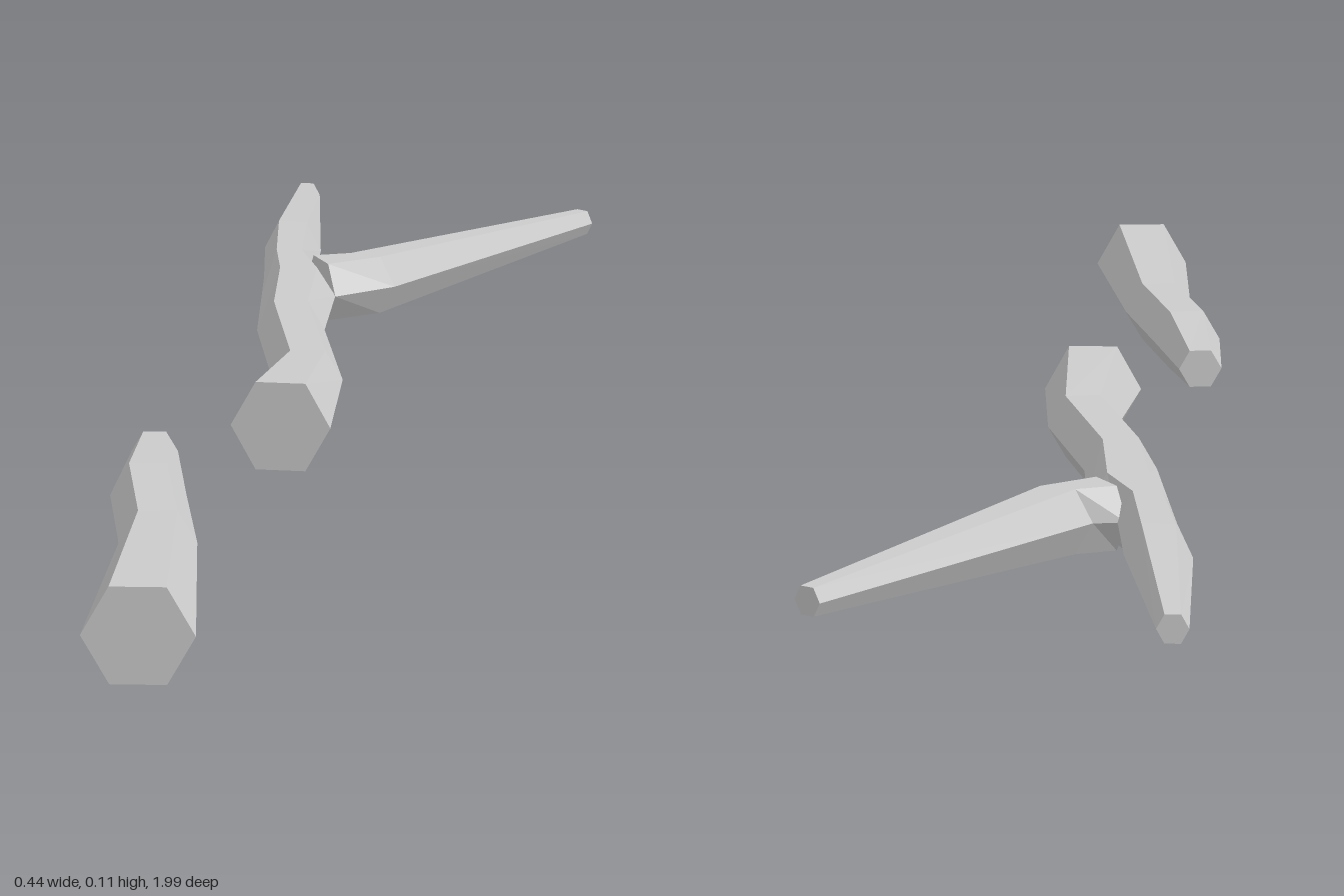
import * as THREE from 'three';

const CENTRE_Y = 0.0555;
const material = new THREE.MeshStandardMaterial({ color: 0xcccccc, flatShading: true });

// Hexagonal ring from its two side points (seen from above) and its half height
function hexRing([lx, lz, rx, rz, h]) {
  const at = (t, dy) => [lx + (rx - lx) * t, CENTRE_Y + dy, lz + (rz - lz) * t];
  return [at(0, 0), at(0.25, h), at(0.75, h), at(1, 0), at(0.75, -h), at(0.25, -h)];
}

// Capped six-sided limb through a row of rings running from front to back
function limb(name, sections) {
  const rings = sections.map(hexRing);
  const positions = [];
  const tri = (a, b, c) => positions.push(...a, ...b, ...c);
  for (let i = 0; i < rings.length - 1; i++) {
    for (let j = 0; j < 6; j++) {
      const k = (j + 1) % 6;
      tri(rings[i][j], rings[i][k], rings[i + 1][k]);
      tri(rings[i][j], rings[i + 1][k], rings[i + 1][j]);
    }
  }
  const first = rings[0], last = rings[rings.length - 1];
  for (let j = 1; j < 5; j++) {
    tri(first[0], first[j + 1], first[j]);
    tri(last[0], last[j], last[j + 1]);
  }
  const geometry = new THREE.BufferGeometry();
  geometry.setAttribute('position', new THREE.Float32BufferAttribute(positions, 3));
  geometry.computeVertexNormals();
  const mesh = new THREE.Mesh(geometry, material);
  mesh.name = name;
  return mesh;
}

export function createModel() {
  const model = new THREE.Group();
  model.name = 'sticks';

  // Short stick lying at the front; rows are left x, left z, right x, right z, half height
  model.add(limb('shortStick', [
    [0.04, 0.993, 0.161, 0.968, 0.0545],
    [-0.01, 0.663, 0.075, 0.64, 0.038],
    [-0.07, 0.485, 0.014, 0.46, 0.038],
    [-0.095, 0.303, -0.042, 0.29, 0.0235],
  ]));

  // Forked stick behind it: main stem and side twig
  const forked = new THREE.Group();
  forked.name = 'forkedStick';
  forked.add(limb('mainStem', [
    [-0.01, 0.166, 0.11, 0.153, 0.0545],
    [-0.01, -0.04, 0.073, -0.064, 0.038],
    [-0.088, -0.267, -0.005, -0.29, 0.038],
    [-0.126, -0.44, -0.032, -0.46, 0.038],
    [-0.147, -0.535, -0.08, -0.542, 0.038],
    [-0.185, -0.69, -0.107, -0.687, 0.038],
    [-0.22, -0.996, -0.185, -1.0, 0.016],
  ]));
  forked.add(limb('sideTwig', [
    [-0.09, -0.538, -0.031, -0.456, 0.038],
    [-0.052, -0.546, 0.032, -0.525, 0.038],
    [0.186, -0.945, 0.217, -0.928, 0.016],
  ]));
  model.add(forked);

  return model;
}
